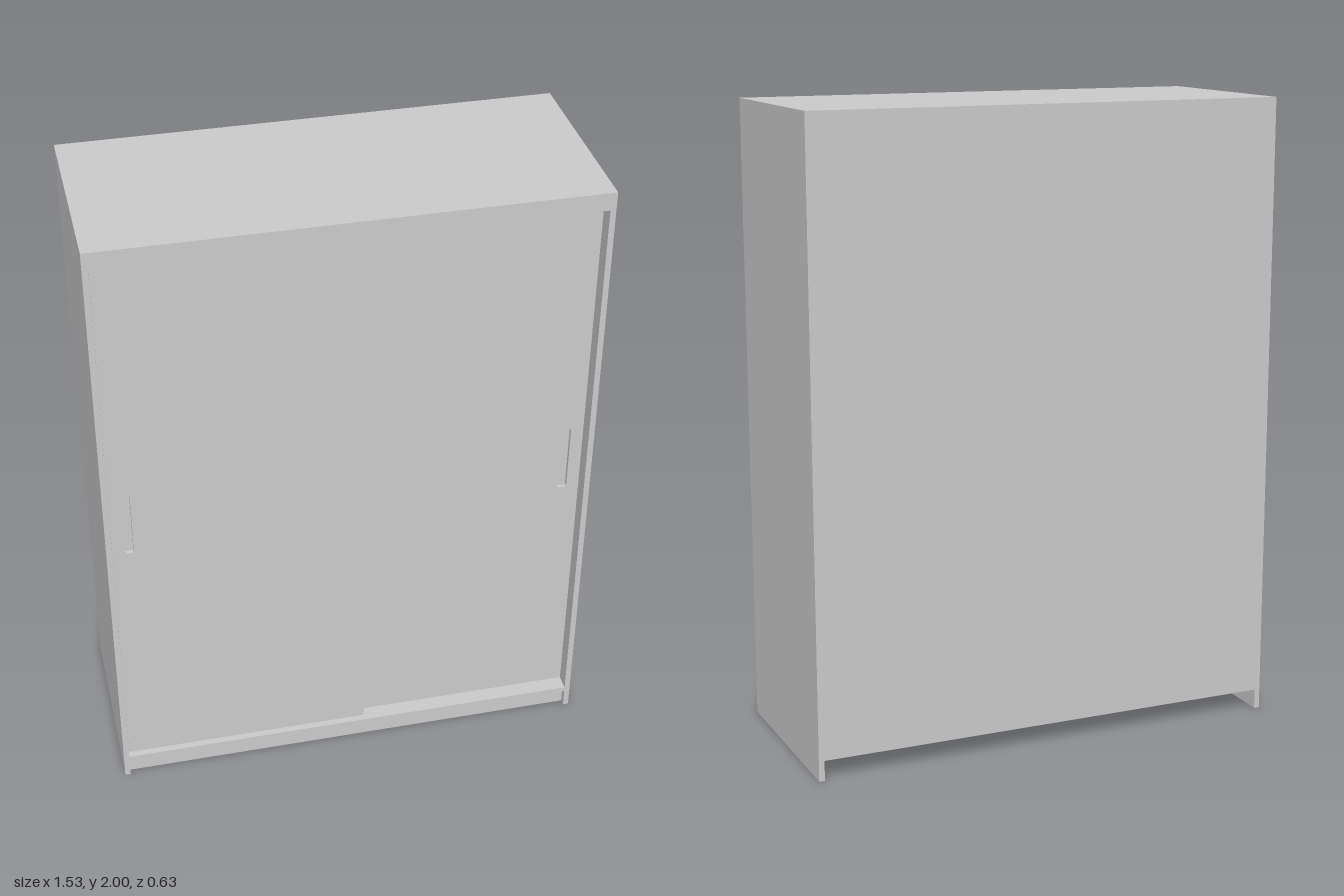
import * as THREE from 'three';

const W = 1.53, H = 2, D = 0.634, T = 0.018; // overall size and board thickness
const front = D / 2, innerX = W / 2 - T;

export function createModel() {
  const wardrobe = new THREE.Group();
  wardrobe.name = 'slidingWardrobe';
  const material = new THREE.MeshStandardMaterial({ color: 0xcccccc });

  // Board given by its lower and upper corner
  function board(name, [x0, y0, z0], [x1, y1, z1], parent = wardrobe) {
    const mesh = new THREE.Mesh(new THREE.BoxGeometry(x1 - x0, y1 - y0, z1 - z0), material);
    mesh.position.set((x0 + x1) / 2, (y0 + y1) / 2, (z0 + z1) / 2);
    mesh.name = name;
    parent.add(mesh);
  }

  // Carcass
  board('rightSide', [-W / 2, 0, -front], [-innerX, H, front]);
  board('leftSide', [innerX, 0, -front], [W / 2, H, front]);
  board('topPanel', [-innerX, H - T, -front], [innerX, H, front]);
  board('topFascia', [-innerX, 1.943, front - T], [innerX, H - T, front]);
  board('bottomPanel', [-innerX, 0.064, -front], [innerX, 0.08, front]);
  board('backPanel', [-innerX, 0.08, -front], [innerX, H - T, -front + 0.01]);
  board('plinth', [-innerX, 0, front - 0.02 - T], [innerX, 0.064, front - 0.02]);

  // Rounded slot outline for the recessed grips
  function slot(x, y, w, h, r) {
    const path = new THREE.Path();
    const a = x - w / 2, b = x + w / 2, c = y - h / 2, d = y + h / 2;
    path.absarc(a + r, c + r, r, -Math.PI / 2, -Math.PI, true);
    path.absarc(a + r, d - r, r, Math.PI, Math.PI / 2, true);
    path.absarc(b - r, d - r, r, Math.PI / 2, 0, true);
    path.absarc(b - r, c + r, r, 0, -Math.PI / 2, true);
    path.closePath();
    return path;
  }

  // Sliding door with a grip recess; zFront is its outer face
  function door(name, x0, x1, y0, gripX, zFront) {
    const group = new THREE.Group();
    group.name = name;
    const y1 = 1.943, depth = 0.012, thick = 0.02;
    const shape = new THREE.Shape();
    shape.moveTo(x0, y0).lineTo(x1, y0).lineTo(x1, y1).lineTo(x0, y1).closePath();
    shape.holes.push(slot(gripX, 1.032, 0.03, 0.225, 0.007));
    const face = new THREE.Mesh(
      new THREE.ExtrudeGeometry(shape, { depth, bevelEnabled: false, curveSegments: 6 }), material);
    face.position.z = zFront - depth;
    face.name = name + 'Face';
    group.add(face);
    board(name + 'Backing', [x0, y0, zFront - thick], [x1, y1, zFront - depth], group);
    wardrobe.add(group);
  }
  door('outerDoor', -0.745, 0.048, 0.08, -0.694, front - 0.022);
  door('innerDoor', -0.048, 0.745, 0.086, 0.69, front - 0.046);

  return wardrobe;
}
